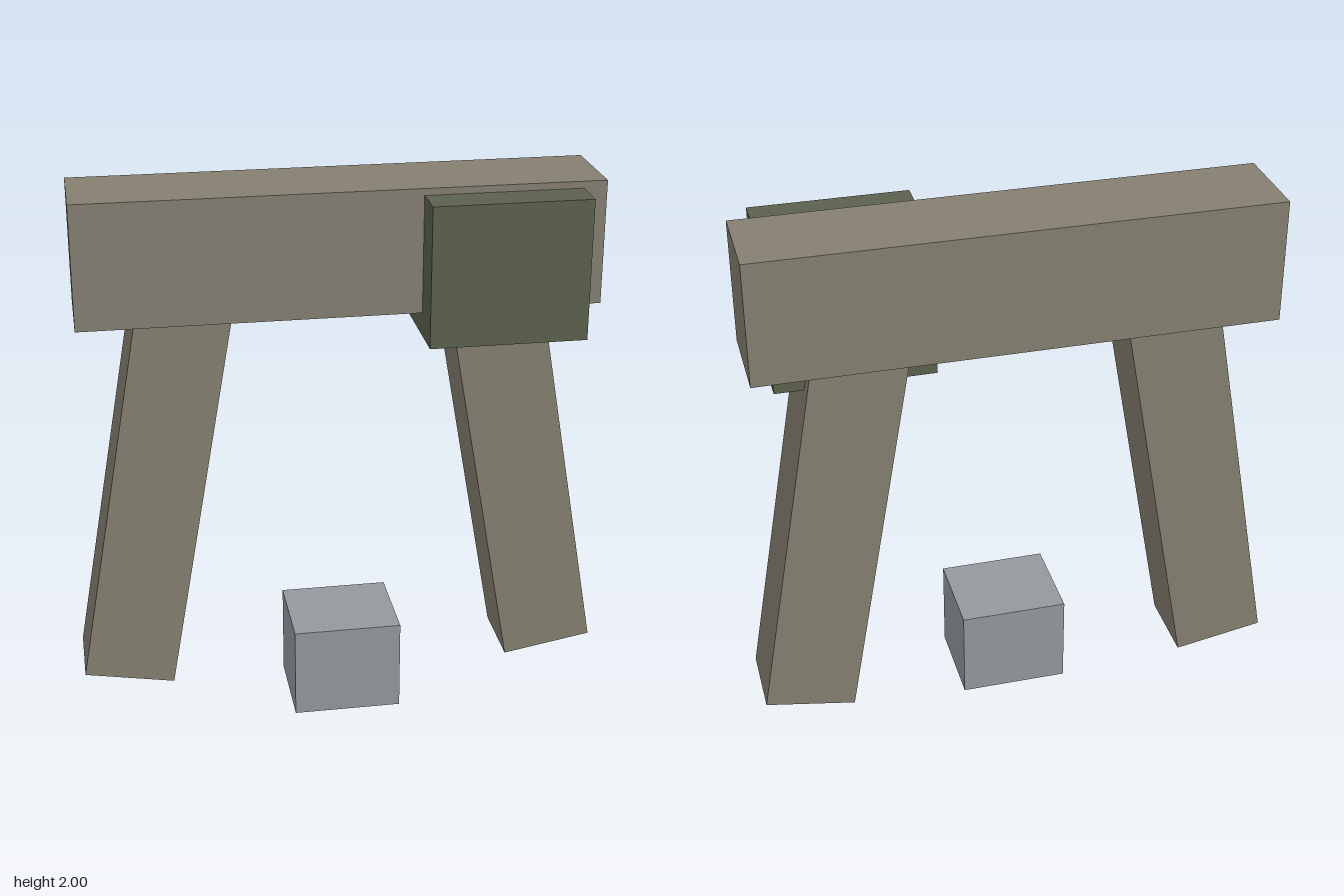
import * as THREE from 'three';

export function createModel() {
  const model = new THREE.Group();
  const stone = new THREE.MeshStandardMaterial({ color: 0x857f71, flatShading: true });
  const moss = new THREE.MeshStandardMaterial({ color: 0x5b614d, flatShading: true });
  const paleStone = new THREE.MeshStandardMaterial({ color: 0x92999c, flatShading: true });

  function addBox(name, size, position, material) {
    const mesh = new THREE.Mesh(new THREE.BoxGeometry(...size), material);
    mesh.name = name;
    mesh.position.set(...position);
    model.add(mesh);
    return mesh;
  }

  // Lintel across the top
  addBox('lintel', [1.88, 0.455, 0.34], [0, 1.7725, -0.07], stone);

  // Splayed pillars, their tops buried in the lintel
  const tilt = THREE.MathUtils.degToRad(10);
  const length = 1.6;
  for (const side of [-1, 1]) {
    const x = side * (0.814 - Math.sin(tilt) * length / 2);
    const y = 0.131 + Math.cos(tilt) * length / 2;
    const pillar = addBox(side > 0 ? 'leftPillar' : 'rightPillar',
      [0.338, length, 0.285], [x, y, -0.0685], stone);
    pillar.rotation.z = side * tilt;
  }

  // Moss patch over one corner
  addBox('mossPatch', [0.57, 0.515, 0.395], [0.57, 1.7175, 0.0425], moss);

  // Loose block on the ground between the pillars
  addBox('groundBlock', [0.4, 0.345, 0.345], [0, 0.1725, 0.0425], paleStone);

  return model;
}
